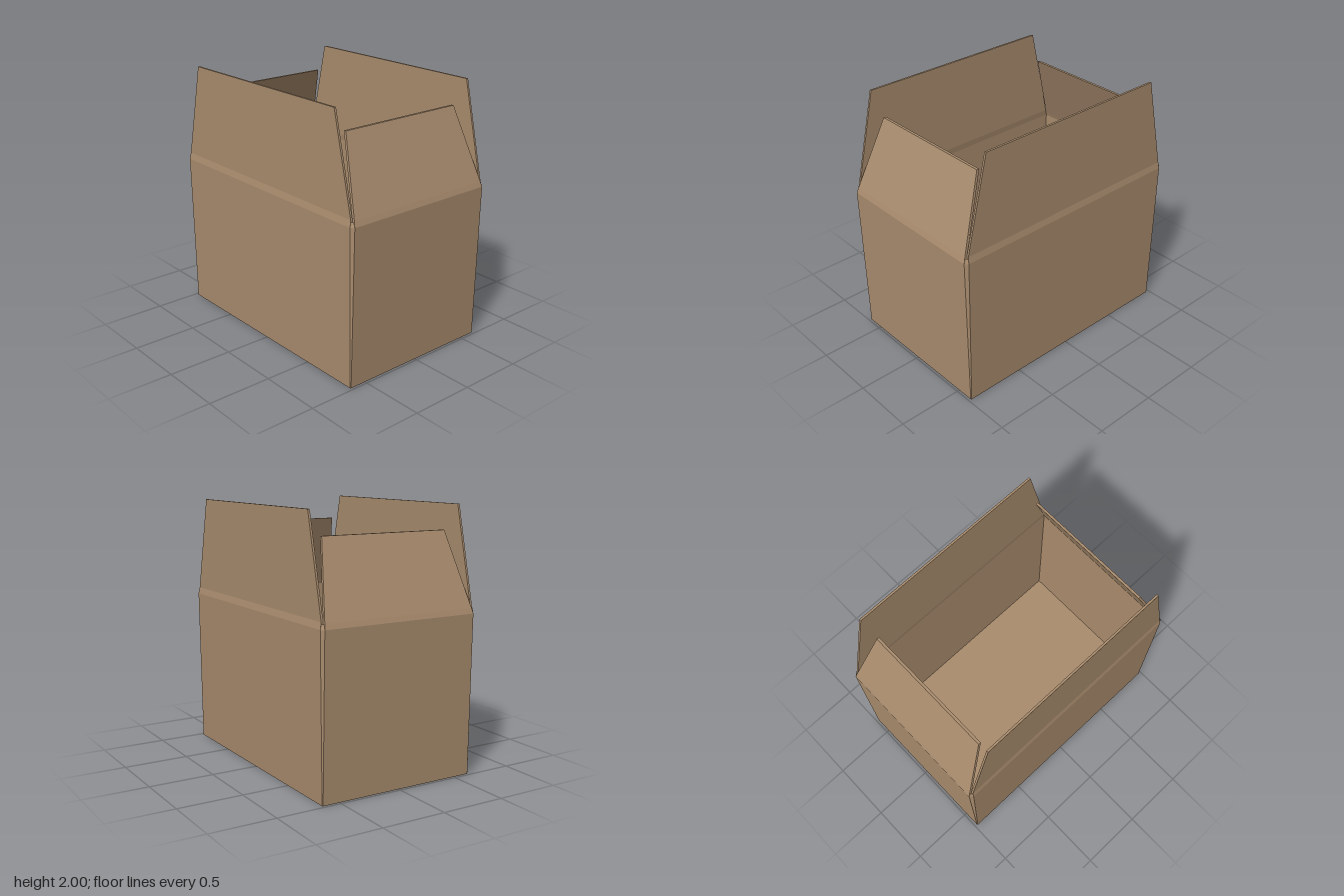
import * as THREE from 'three';

// Solid lofted through horizontal rings of [x, y, z], counter-clockwise seen from above
function loft(rings) {
  const pos = [];
  const tri = (a, b, c) => pos.push(...a, ...b, ...c);
  const n = rings[0].length;
  for (let r = 0; r < rings.length - 1; r++) {
    const a = rings[r], b = rings[r + 1];
    for (let i = 0; i < n; i++) {
      const j = (i + 1) % n;
      tri(a[i], a[j], b[j]);
      tri(a[i], b[j], b[i]);
    }
  }
  const top = rings[rings.length - 1], bottom = rings[0];
  for (let i = 1; i < n - 1; i++) {
    tri(top[0], top[i], top[i + 1]);
    tri(bottom[0], bottom[i + 1], bottom[i]);
  }
  const geo = new THREE.BufferGeometry();
  geo.setAttribute('position', new THREE.Float32BufferAttribute(pos, 3));
  geo.computeVertexNormals();
  return geo;
}

// Board facing +z from rows of [y, half width, outer depth, inner depth]
const board = (rows) => loft(rows.map(([y, w, o, i]) =>
  [[-w, y, o], [w, y, o], [w, y, i], [-w, y, i]]));

export function createModel() {
  const group = new THREE.Group();
  const cardboard = new THREE.MeshStandardMaterial({ color: 0xa98c6e });
  cardboard.name = 'cardboard';

  const add = (name, geo, turn = 0) => {
    const mesh = new THREE.Mesh(geo, cardboard);
    mesh.name = name;
    mesh.rotation.y = turn;
    group.add(mesh);
  };

  // Long walls with upright flaps
  const longWall = board([[0, 0.975, 0.637, 0.62], [1.22, 0.975, 0.65, 0.63]]);
  const longFlap = board([[1.22, 0.975, 0.65, 0.63], [1.27, 0.97, 0.64, 0.624], [2, 0.8, 0.64, 0.624]]);
  // Short walls with flaps leaning inward
  const shortWall = board([[0, 0.632, 0.98, 0.963], [1.22, 0.63, 1, 0.98]]);
  const shortFlap = board([[1.22, 0.63, 1, 0.98], [1.26, 0.622, 0.987, 0.966], [1.815, 0.52, 0.78, 0.76]]);

  add('frontWall', longWall);
  add('frontFlap', longFlap);
  add('backWall', longWall, Math.PI);
  add('backFlap', longFlap, Math.PI);
  add('leftWall', shortWall, Math.PI / 2);
  add('leftFlap', shortFlap, Math.PI / 2);
  add('rightWall', shortWall, -Math.PI / 2);
  add('rightFlap', shortFlap, -Math.PI / 2);

  // Bevelled corner folds, widening toward the top
  for (const sx of [1, -1]) for (const sz of [1, -1]) {
    const ring = (y, pts) => {
      const r = pts.map(([x, z]) => [sx * x, y, sz * z]);
      return sx * sz > 0 ? r : r.reverse();
    };
    add('cornerFold', loft([
      ring(0, [[0.975, 0.637], [0.98, 0.632], [0.963, 0.62]]),
      ring(1.22, [[0.975, 0.65], [1, 0.63], [0.975, 0.63]]),
      ring(1.255, [[0.971, 0.642], [0.985, 0.626], [0.968, 0.624]]),
    ]));
  }

  // Floor of the box
  const floor = new THREE.BoxGeometry(1.95, 0.015, 1.262);
  floor.translate(0, 0.0075, 0);
  add('floor', floor);

  return group;
}
